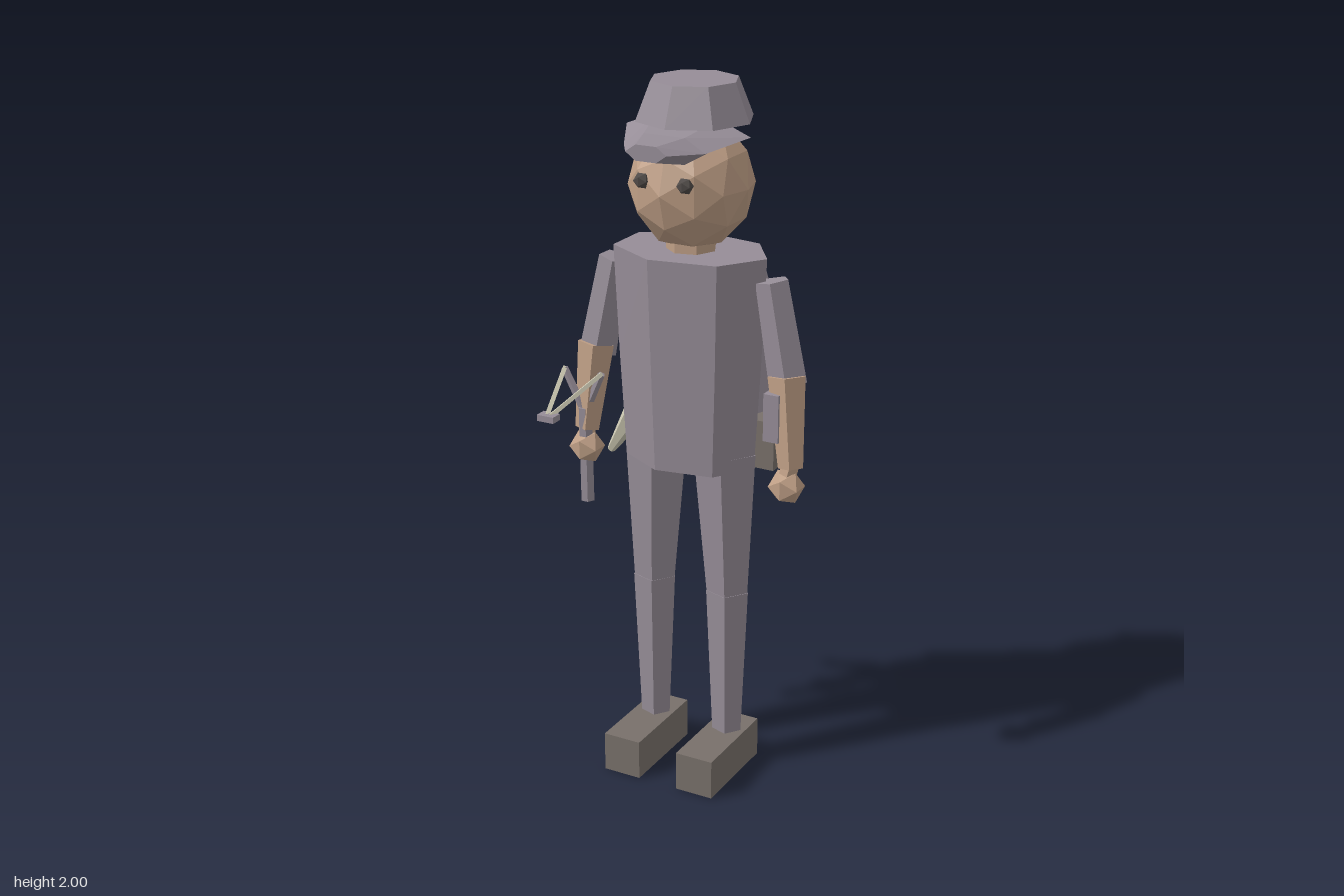
import * as THREE from 'three';

const flat = (name, color) => {
  const m = new THREE.MeshStandardMaterial({ color, flatShading: true });
  m.name = name;
  return m;
};

export function createModel() {
  const cloth = flat('greyCloth', 0x968d97);
  const skin = flat('skin', 0xbf9f86);
  const leather = flat('darkLeather', 0x78706a);
  const bone = flat('bone', 0xcfcbb5);
  const dark = flat('eyeDark', 0x4f4a47);
  const model = new THREE.Group();
  model.name = 'figure';

  const add = (name, geometry, material, pos = [0, 0, 0], parent = model) => {
    const mesh = new THREE.Mesh(geometry, material);
    mesh.name = name;
    mesh.position.set(...pos);
    parent.add(mesh);
    return mesh;
  };
  const box = (name, size, pos, material, parent) =>
    add(name, new THREE.BoxGeometry(...size), material, pos, parent);

  // Tapered prism between two points, one corner facing +x
  const limb = (name, top, bottom, rTop, rBottom, sides, material, parent) => {
    const a = new THREE.Vector3(...top), b = new THREE.Vector3(...bottom);
    const g = new THREE.CylinderGeometry(rTop, rBottom, a.distanceTo(b), sides).rotateY(Math.PI / 2);
    const mesh = add(name, g, material, a.clone().add(b).multiplyScalar(0.5).toArray(), parent);
    mesh.quaternion.setFromUnitVectors(new THREE.Vector3(0, 1, 0), a.sub(b).normalize());
    return mesh;
  };

  // Closed skin over a list of rings, each counter-clockwise about the loft direction
  const loft = (rings) => {
    const n = rings[0].length, index = [], last = (rings.length - 1) * n;
    for (let r = 0; r < rings.length - 1; r++) {
      for (let i = 0; i < n; i++) {
        const a = r * n + i, b = r * n + (i + 1) % n;
        index.push(a, b, b + n, a, b + n, a + n);
      }
    }
    for (let i = 1; i < n - 1; i++) index.push(0, i + 1, i, last, last + i, last + i + 1);
    const g = new THREE.BufferGeometry();
    g.setAttribute('position', new THREE.Float32BufferAttribute(rings.flat(2), 3));
    g.setIndex(index);
    g.computeVertexNormals();
    return g;
  };
  const ring = (n, point) => Array.from({ length: n }, (_, i) => {
    const a = i / n * Math.PI * 2;
    return point(Math.cos(a), Math.sin(a));
  });

  // Tunic: seven-sided, narrowing to the hem
  const tunicRing = (y, rx, rz) => ring(7, (c, s) => [0.01 + rx * c, y, -rz * s]);
  add('lowerTunic', loft([tunicRing(0.94, 0.194, 0.136), tunicRing(1.24, 0.212, 0.148)]), cloth);
  add('upperTunic', loft([tunicRing(1.24, 0.212, 0.148), tunicRing(1.545, 0.226, 0.16)]), cloth);

  // Sack slung on the back, tilted and wider below
  const sackRing = (y, cz, rx, rz) => ring(7, (c, s) => [0.02 + rx * c, y + 0.25 * rz * s, cz - rz * s]);
  add('backSack', loft([sackRing(1.125, -0.115, 0.27, 0.153), sackRing(1.495, -0.05, 0.19, 0.108)]), cloth);
  limb('sackToggle', [0.03, 1.345, -0.19], [0.03, 1.305, -0.24], 0.02, 0.012, 5, bone);

  // Head
  limb('neck', [0.01, 1.6, 0], [0.01, 1.52, 0], 0.07, 0.07, 7, skin);
  add('head', new THREE.IcosahedronGeometry(1, 1).scale(0.168, 0.18, 0.178), skin, [0.01, 1.725, 0]);
  for (const x of [-0.053, 0.075]) {
    add('eye', new THREE.IcosahedronGeometry(0.023, 0), dark, [x, 1.757, 0.157]);
  }

  // Cap crown and visor
  limb('capCrown', [0.01, 2, -0.015], [0.01, 1.895, -0.015], 0.121, 0.163, 8, cloth);
  const visorRing = (z, y, rx, ry) => ring(6, (c, s) => [0.01 + rx * c, y + ry * s / 0.866, z]);
  add('capVisor', loft([
    visorRing(0.022, 1.87, 0.185, 0.037),
    visorRing(0.15, 1.846, 0.12, 0.035),
    visorRing(0.246, 1.853, 0.06, 0.021),
  ]), cloth);

  // Legs and boots
  for (const side of [-1, 1]) {
    const x = 0.01 + side * 0.1175;
    const leg = new THREE.Group();
    leg.name = side > 0 ? 'leftLeg' : 'rightLeg';
    model.add(leg);
    limb('thigh', [0.01 + side * 0.108, 0.98, 0], [x, 0.54, 0], 0.091, 0.06, 5, cloth, leg);
    limb('shin', [x, 0.56, 0], [x, 0.1, 0], 0.063, 0.043, 5, cloth, leg);
    box('boot', [0.114, 0.116, 0.29], [x, 0.058, 0.06], leather, leg);
  }

  // Arms
  for (const side of [-1, 1]) {
    const arm = new THREE.Group();
    arm.name = side > 0 ? 'leftArm' : 'rightArm';
    model.add(arm);
    const elbow = 0.01 + side * 0.296, wrist = side > 0 ? 0.335 : -0.305;
    const hand = side > 0 ? 0.325 : -0.305;
    limb('sleeve', [0.01 + side * 0.24, 1.487, -0.005], [elbow, 1.21, 0], 0.047, 0.055, 5, cloth, arm);
    limb('forearm', [elbow, 1.235, 0.01], [wrist, 0.985, 0.037], 0.054, 0.036, 5, skin, arm);
    limb('wrist', [wrist, 1.0, 0.035], [hand, 0.95, 0.043], 0.025, 0.025, 5, skin, arm);
    add('hand', new THREE.IcosahedronGeometry(0.051, 0), skin, [hand, 0.93, 0.043], arm);
  }
  box('armSheath', [0.045, 0.135, 0.035], [0.285, 1.125, 0.048], cloth);

  // Belt pouch and horn
  box('beltPouch', [0.13, 0.14, 0.085], [0.18, 1.0, -0.08], leather);
  limb('horn', [-0.185, 1.06, -0.08], [-0.337, 0.85, -0.145], 0.045, 0.013, 6, bone);

  // Slingshot held in the right hand
  const sling = new THREE.Group();
  sling.name = 'slingshot';
  model.add(sling);
  limb('slingHandle', [-0.305, 1.05, 0.05], [-0.305, 0.765, 0.045], 0.021, 0.021, 6, cloth, sling);
  for (const side of [-1, 1]) {
    const tip = [-0.305 + side * 0.06, 1.16, 0.058];
    limb('slingProng', tip, [-0.305, 1.035, 0.05], 0.011, 0.013, 5, cloth, sling);
    limb('slingBand', tip, [-0.305 + side * 0.005, 1.085, 0.243], 0.008, 0.008, 4, bone, sling);
  }
  box('slingPocket', [0.052, 0.018, 0.035], [-0.305, 1.082, 0.243], cloth, sling);

  return model;
}
